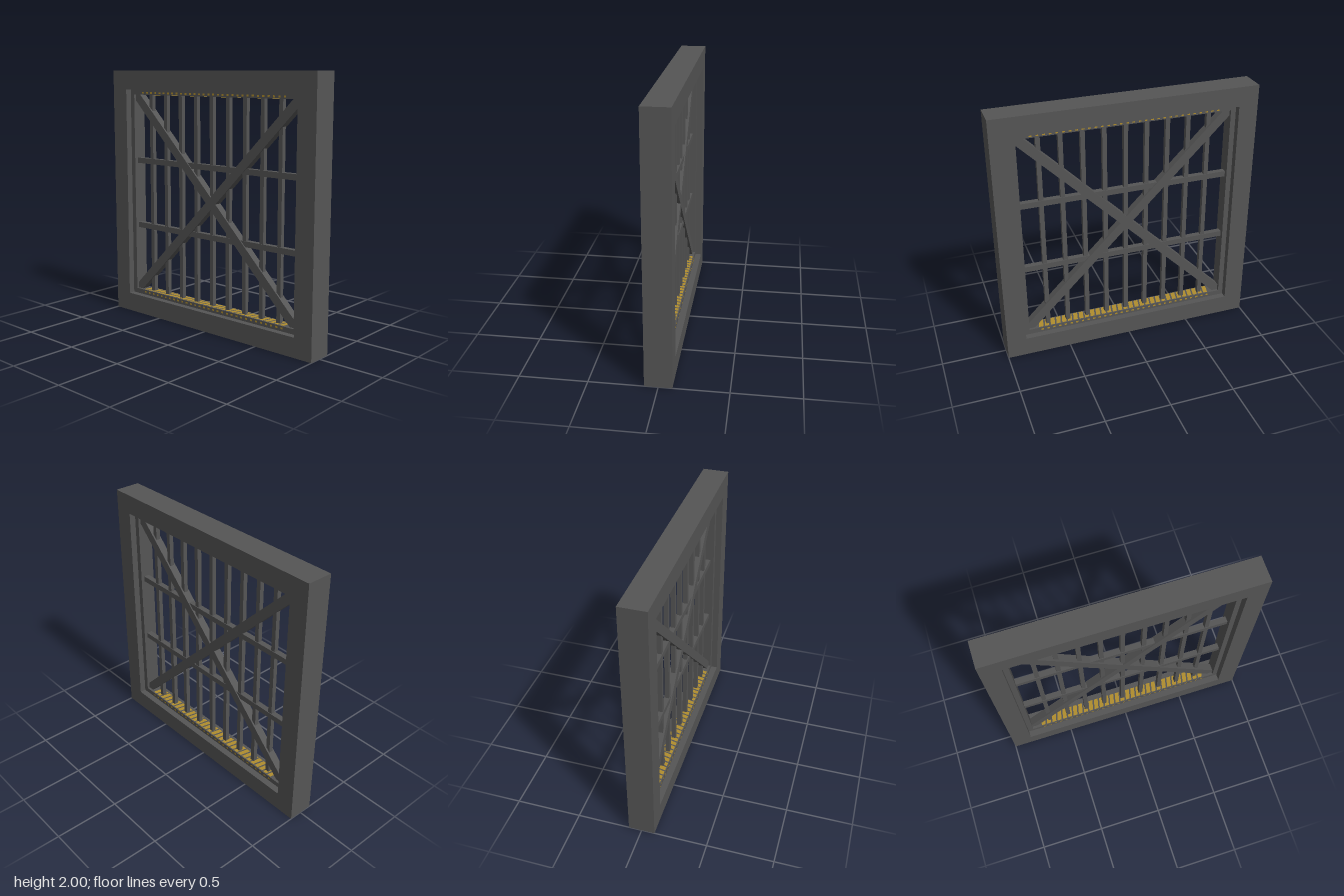
import * as THREE from 'three';

export function createModel() {
  const model = new THREE.Group();
  model.name = 'barredWindow';
  const iron = new THREE.MeshStandardMaterial({ color: 0x555555 });
  iron.name = 'dark iron';
  const gold = new THREE.MeshStandardMaterial({ color: 0xb08d2e, side: THREE.DoubleSide });
  gold.name = 'gold';

  const add = (name, geometry, material, x = 0, y = 0, z = 0, parent = model) => {
    const mesh = new THREE.Mesh(geometry, material);
    mesh.name = name;
    mesh.position.set(x, y, z);
    parent.add(mesh);
    return mesh;
  };
  const box = (name, w, h, d, x, y, z = 0) =>
    add(name, new THREE.BoxGeometry(w, h, d), iron, x, y, z);

  // Square ring centred on the opening
  const ring = (name, outer, inner, depth) => {
    const square = (Type, r) => new Type([
      new THREE.Vector2(-r, -r), new THREE.Vector2(r, -r),
      new THREE.Vector2(r, r), new THREE.Vector2(-r, r),
    ]);
    const shape = square(THREE.Shape, outer);
    shape.holes.push(square(THREE.Path, inner));
    const geo = new THREE.ExtrudeGeometry(shape, { depth, bevelEnabled: false });
    geo.translate(0, 0, -depth / 2);
    add(name, geo, iron, 0, 1, 0);
  };
  ring('outerFrame', 1, 0.85, 0.2);
  ring('innerLip', 0.85, 0.81, 0.1);

  // Upright bars
  for (let i = -4; i <= 4; i++) box('uprightBar', 0.034, 1.64, 0.034, i * 0.162, 1);

  // Cross rails
  for (const y of [0.733, 1.273]) box('crossRail', 1.63, 0.044, 0.044, 0, y);

  // Diagonal braces
  for (const side of [-1, 1]) {
    const brace = box('diagonalBrace', 2.3, 0.07, 0.06, 0, 1);
    brace.rotation.z = side * Math.PI / 4;
  }

  // Slanted gold inlays along the upper and lower lip
  const slat = new THREE.Shape([
    new THREE.Vector2(-0.026, -0.042), new THREE.Vector2(0.008, -0.042),
    new THREE.Vector2(0.026, 0.042), new THREE.Vector2(-0.008, 0.042),
  ]);
  const slatGeo = new THREE.ShapeGeometry(slat).rotateX(-Math.PI / 2);
  const dashGeo = new THREE.PlaneGeometry(0.02, 0.014);
  for (const side of [-1, 1]) {
    const inlay = new THREE.Group();
    inlay.name = side < 0 ? 'lowerInlay' : 'upperInlay';
    model.add(inlay);
    for (let i = -15; i <= 15; i++) {
      const x = i * 0.047;
      add('inlaySlat', slatGeo, gold, x, 1 + side * 0.808, 0, inlay);
      for (const z of [-0.052, 0.052])
        add('inlayDash', dashGeo, gold, x, 1 + side * 0.826, z, inlay);
    }
  }
  return model;
}
